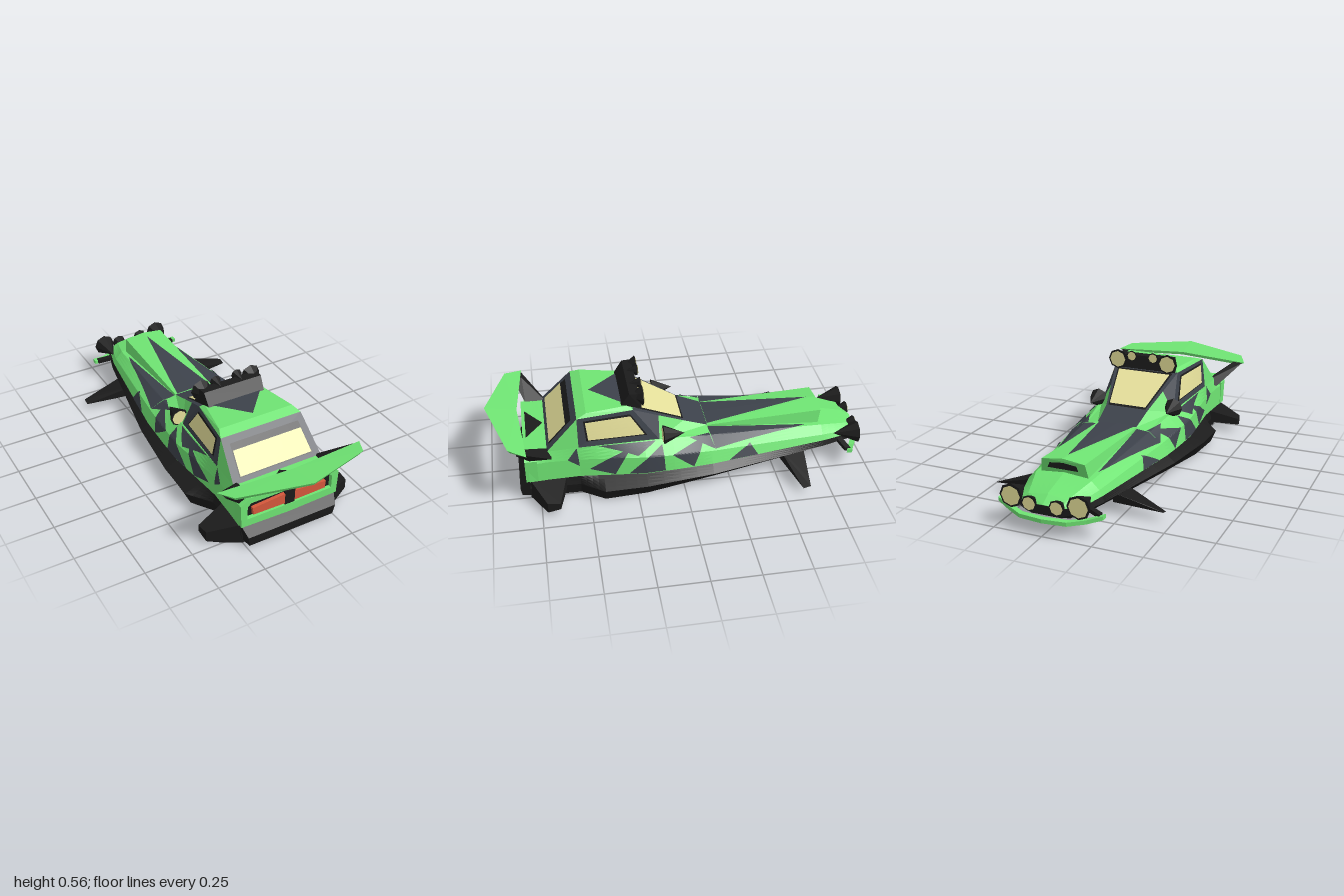
import * as THREE from 'three';
import { ConvexGeometry } from 'three/addons/geometries/ConvexGeometry.js';

const paint = (name, color) => {
  const m = new THREE.MeshStandardMaterial({ color, flatShading: true, side: THREE.DoubleSide });
  m.name = name;
  return m;
};
const V = (p) => new THREE.Vector3(...p);
const mix = (a, b, t) => a.map((v, i) => v + (b[i] - v) * t);
const flip = (s) => ([x, y, z]) => [x * s, y, z];

// Half rings of the body: z, then [x, y] of rim, crease, shoulder and centre line
const BODY = [
  [0.8, [0.275, 0.12], [0.275, 0.23], [0.24, 0.283], [0, 0.287]],
  [0.7, [0.268, 0.12], [0.266, 0.23], [0.25, 0.285], [0, 0.285]],
  [0.54, [0.258, 0.115], [0.256, 0.22], [0.247, 0.289], [0, 0.28]],
  [0.2, [0.29, 0.112], [0.283, 0.21], [0.224, 0.273], [0, 0.265]],
  [0.05, [0.29, 0.118], [0.275, 0.2], [0.208, 0.263], [0, 0.263]],
  [-0.15, [0.284, 0.125], [0.258, 0.19], [0.18, 0.238], [0, 0.247]],
  [-0.77, [0.2, 0.137], [0.185, 0.168], [0.145, 0.207], [0, 0.222]],
  [-0.93, [0.155, 0.133], [0.14, 0.15], [0.1, 0.17], [0, 0.185]],
];
// Half rings of the hull: deck edge, widest rim, chine and keel
const HULL = [
  [0.8, [0.25, 0.12], [0.265, 0.07], [0.25, 0.005], [0, 0]],
  [0.54, [0.258, 0.115], [0.268, 0.07], [0.25, 0.005], [0, 0]],
  [0.42, [0.268, 0.114], [0.36, 0.075], [0.33, 0.005], [0, 0]],
  [0.2, [0.29, 0.112], [0.36, 0.08], [0.315, 0.005], [0, 0]],
  [-0.15, [0.284, 0.126], [0.326, 0.09], [0.26, 0.025], [0, 0.02]],
  [-0.77, [0.2, 0.14], [0.21, 0.112], [0.16, 0.07], [0, 0.065]],
  [-0.93, [0.155, 0.135], [0.16, 0.11], [0.11, 0.08], [0, 0.075]],
];

// Point on a lofted skin at z and ring position t (0 to 3)
function skinPoint(rings, z, t, s = 1, off = 0) {
  let i = 0;
  while (i < rings.length - 2 && z < rings[i + 1][0]) i++;
  const k = Math.min(2, Math.floor(t)) + 1;
  const a = rings[i], b = rings[i + 1], u = (a[0] - z) / (a[0] - b[0]);
  const [x, y] = mix(mix(a[k], b[k], u), mix(a[k + 1], b[k + 1], u), t - k + 1);
  return [(x + off) * s, y + off, z];
}

function triangles(points) {
  const g = new THREE.BufferGeometry();
  g.setAttribute('position', new THREE.Float32BufferAttribute(points.flat(), 3));
  g.computeVertexNormals();
  return g;
}

// Surface over a grid of nu by nv cells
function grid(f, nu, nv) {
  const out = [];
  for (let i = 0; i < nu; i++) for (let j = 0; j < nv; j++) {
    const a = f(i, j), b = f(i + 1, j), c = f(i + 1, j + 1), d = f(i, j + 1);
    out.push(a, b, c, a, c, d);
  }
  return triangles(out);
}

export function createModel() {
  const model = new THREE.Group();
  const green = paint('green paint', 0x6fe473);
  const grey = paint('slate grey', 0x3d424b);
  const black = paint('black trim', 0x1b1b1b);
  const glass = paint('pale yellow glass', 0xe6e09b);
  const red = paint('tail light red', 0xd6583c);

  const add = (name, geo, mat) => {
    const m = new THREE.Mesh(geo, mat);
    m.name = name;
    model.add(m);
    return m;
  };
  const solid = (name, pts, mat) => add(name, new ConvexGeometry(pts.map(V)), mat);
  const both = (f) => [1, -1].forEach(f);
  const pair = (name, pts, mat) => both((s) => solid(name, pts.map(flip(s)), mat));
  const wide = (name, pts, mat) => solid(name, [...pts, ...pts.map(flip(-1))], mat);
  const face = (name, pts, mat) => {
    const out = [];
    for (let i = 1; i < pts.length - 1; i++) out.push(pts[0], pts[i], pts[i + 1]);
    return add(name, triangles(out), mat);
  };

  // Plate on a quad, inset by u and v ranges, raised away from the cabin centre
  function plate(name, q, [u0, u1, v0, v1], off, mat) {
    const n = V(q[1]).sub(V(q[0])).cross(V(q[3]).sub(V(q[0]))).normalize();
    if (n.dot(V(q[0]).sub(V([0, 0.3, 0.3]))) < 0) n.negate();
    const at = (u, v) => {
      const p = mix(mix(q[0], q[1], u), mix(q[3], q[2], u), v);
      return [p[0] + n.x * off, p[1] + n.y * off, p[2] + n.z * off];
    };
    add(name, grid((i, j) => at(u0 + (u1 - u0) * i / 6, v0 + (v1 - v0) * j / 6), 6, 6), mat);
  }
  const window = (name, q, [u0, u1, v0, v1]) => {
    plate(name + 'Seal', q, [u0 - 0.025, u1 + 0.025, v0 - 0.04, v1 + 0.05], 0.004, black);
    plate(name, q, [u0, u1, v0, v1], 0.008, glass);
  };

  // Body and hull skins
  both((s) => {
    for (const [name, rings, mat] of [['body', BODY, green], ['hull', HULL, black]]) {
      const zAt = (i) => {
        const k = Math.min(rings.length - 2, Math.floor(i / 4));
        return rings[k][0] + (rings[k + 1][0] - rings[k][0]) * (i / 4 - k);
      };
      add(name, grid((i, j) => skinPoint(rings, zAt(i), j / 4, s), (rings.length - 1) * 4, 12), mat);
    }
    // Camouflage triangles, corners as [z, ring position]
    const camo = [
      [[0.6, 1.0], [0.55, 1.95], [0.54, 0.6]],
      [[0.27, 1.7], [0.49, 0.4], [0.36, 0.02]],
      [[0.11, 1.7], [0.1, 0.02], [0.29, 0.02]],
      [[-0.12, 1.95], [0.06, 1.0], [-0.05, 0.02]],
      [[-0.36, 1.2], [-0.24, 0.02], [-0.4, 0.02]],
      [[-0.68, 2.1], [-0.17, 1.1], [-0.15, 2.4]],
      [[-0.04, 1.95], [-0.17, 1.1], [-0.15, 2.1]],
      [[0.44, 1.95], [0.24, 1.1], [0.14, 1.95]],
    ];
    for (const [a, b, c] of camo) {
      const N = 16;
      add('camouflage', grid((i, j) => {
        const [z, t] = mix(a, mix(b, c, j / N), i / N);
        return skinPoint(BODY, z, t, s, 0.004);
      }, N, N), grey);
    }
  });

  // Nose cap and curved front bumper
  wide('noseCap', [[0.14, 0.15, -0.92], [0.1, 0.17, -0.92], [0, 0.185, -0.92], [0.155, 0.13, -0.92], [0.08, 0.14, -0.965], [0, 0.15, -0.98]], green);
  wide('noseUnderside', [[0.16, 0.11, -0.92], [0.155, 0.133, -0.92], [0.11, 0.08, -0.92], [0.08, 0.138, -0.96], [0.07, 0.09, -0.96]], black);
  const bumper = [[0, 0.077, -0.985], [0.12, 0.077, -0.972], [0.2, 0.085, -0.93], [0.27, 0.105, -0.9]];
  const section = ([x, y, z]) => [[x, y - 0.01, z - 0.015], [x, y + 0.01, z - 0.015], [x, y + 0.01, z + 0.015], [x, y - 0.01, z + 0.015]];
  for (let i = 0; i < 3; i++) pair('frontBumper', [...section(bumper[i]), ...section(bumper[i + 1])], green);
  pair('bumperBracket', [...section([0.25, 0.105, -0.895]), ...section([0.15, 0.125, -0.86])], black);

  // Hood scoop with dark intake and centre stripe
  wide('hoodScoop', [[0.11, 0.253, -0.15], [0, 0.258, -0.15], [0.112, 0.281, -0.77], [0, 0.295, -0.77], [0.11, 0.225, -0.15], [0.125, 0.205, -0.755]], green);
  face('scoopIntake', [[-0.08, 0.243, -0.774], [0.08, 0.243, -0.774], [0.07, 0.268, -0.774], [0, 0.276, -0.774], [-0.07, 0.268, -0.774]], black);
  both((s) => face('hoodStripe', [[0, 0.262, -0.15], [0.1 * s, 0.258, -0.15], [0, 0.2965, -0.72]], grey));

  // Cabin corners
  const S0 = [0.25, 0.285, 0.7], M = [0.247, 0.289, 0.54], R0 = [0.228, 0.45, 0.54];
  const R1 = [0.185, 0.445, 0.25], S1 = [0.212, 0.265, 0.12], W = [0.12, 0.305, -0.02];
  const H = [0.11, 0.255, -0.15], C = [0.18, 0.238, -0.15], Q = mix(R1, W, 0.5), m = flip(-1);
  both((s) => {
    const f = flip(s), side = [M, S1, R1, R0].map(f);
    face('rearQuarter', [S0, R0, M].map(f), green);
    face('sideFrame', side, grey);
    window('sideWindow', side, [0.13, 0.88, 0.24, 0.85]);
    face('windscreenPillar', [R1, Q, S1].map(f), grey);
    face('cowlCorner', [Q, W, S1].map(f), green);
    face('cowlSide', [S1, W, H, C].map(f), green);
  });
  face('cowl', [W, H, m(H), m(W)], grey);
  const screen = [m(W), W, R1, m(R1)], back = [m(S0), S0, R0, m(R0)];
  face('windscreenFrame', screen, grey);
  window('windscreen', screen, [0.08, 0.92, 0.04, 0.9]);
  face('rearFrame', back, grey);
  plate('rearWindowSeal', back, [0.08, 0.92, 0.1, 0.84], 0.004, black);
  plate('rearWindow', back, [0.09, 0.91, 0.12, 0.68], 0.008, glass);
  wide('roof', [R0, R1, [0.208, 0.468, 0.49], [0.165, 0.463, 0.27]], green);
  face('roofCamouflage', [[-0.16, 0.468, 0.28], [0.16, 0.468, 0.28], [0, 0.471, 0.46]], grey);

  // Lamps: cones closed by pale discs, dir is the way the disc faces
  function lamp(name, x, y, z, r, h, dir) {
    both((s) => {
      const shell = new THREE.ConeGeometry(r, h, 8).rotateX(-dir * Math.PI / 2);
      add(name, shell.translate(x * s, y, z - dir * h / 2), black);
      const lens = new THREE.CircleGeometry(r * 0.82, 8);
      if (dir < 0) lens.rotateY(Math.PI);
      add(name + 'Lens', lens.translate(x * s, y, z + dir * 0.004), glass);
    });
  }
  wide('roofLightBar', [[0.16, 0.46, 0.31], [0.185, 0.455, 0.205], [0.17, 0.528, 0.215], [0.165, 0.528, 0.265]], black);
  lamp('roofLampLarge', 0.145, 0.502, 0.195, 0.055, 0.075, -1);
  lamp('roofLampSmall', 0.062, 0.527, 0.195, 0.03, 0.06, -1);
  lamp('noseLampLarge', 0.172, 0.16, -0.965, 0.06, 0.13, -1);
  lamp('noseLampSmall', 0.07, 0.145, -0.98, 0.04, 0.08, -1);
  lamp('sideMirror', 0.22, 0.298, 0.1, 0.05, 0.11, 1);

  // Tail frame, lights and rear bumper
  const outline = (p) => [...p, ...p.slice().reverse().map(([x, y]) => [-x, y])].map(([x, y]) => new THREE.Vector2(x, y));
  const frame = new THREE.Shape(outline([[0.01, 0.112], [0.272, 0.12], [0.278, 0.25], [0.225, 0.285]]));
  frame.holes.push(new THREE.Path(outline([[0.24, 0.16], [0.24, 0.235], [0.22, 0.252]])));
  add('tailFrame', new THREE.ExtrudeGeometry(frame, { depth: 0.062, bevelEnabled: false }).translate(0, 0, 0.755), green);
  add('tailPanel', new THREE.BoxGeometry(0.5, 0.11, 0.02).translate(0, 0.205, 0.785), black);
  add('tailDivider', new THREE.BoxGeometry(0.055, 0.08, 0.022).translate(0, 0.2, 0.803), black);
  pair('tailLight', [0.79, 0.813].flatMap((z) => [[0.028, 0.168, z], [0.205, 0.172, z], [0.208, 0.213, z], [0.028, 0.226, z]]), red);
  wide('rearBumper', [[0.255, 0.12, 0.7], [0.265, 0.116, 0.81], [0.25, 0.07, 0.85], [0.24, 0.015, 0.845], [0.25, 0, 0.7]], black);
  wide('rearFlap', [[0.18, 0.06, 0.853], [0, 0.07, 0.854], [0.23, 0.02, 0.848], [0.23, 0.045, 0.852], [0.2, 0.02, 0.83]], black);

  // Rear and front stabilising fins
  pair('rearFin', [[0.25, 0.12, 0.61], [0.25, 0.12, 0.8], [0.25, 0.05, 0.61], [0.25, 0.005, 0.8], [0.34, 0.005, 0.75],
    [0.415, 0.075, 0.655], [0.408, 0.075, 0.72], [0.415, 0.04, 0.655], [0.408, 0.02, 0.72]], black);
  pair('frontFin', [[0.2, 0.115, -0.66], [0.2, 0.115, -0.53], [0.2, 0.06, -0.65], [0.2, 0.06, -0.53], [0.28, 0.045, -0.56],
    [0.4, 0.062, -0.64], [0.452, 0.045, -0.638], [0.452, 0.035, -0.6]], black);

  // Spoiler and its struts
  const wing = [[0, 0.415, 0.998], [0.355, 0.392, 0.89], [0.4, 0.375, 0.8], [0, 0.388, 0.835]];
  pair('spoiler', [...wing, [0, 0.398, 0.99], [0.345, 0.37, 0.88], [0.37, 0.36, 0.805], [0, 0.372, 0.838]], green);
  pair('spoilerStrut', [[0.215, 0.28, 0.68], [0.27, 0.25, 0.68], [0.215, 0.28, 0.79], [0.27, 0.25, 0.79],
    [0.33, 0.372, 0.8], [0.385, 0.372, 0.8], [0.335, 0.372, 0.85], [0.38, 0.372, 0.85]], black);
  face('deckStripe', [[-0.12, 0.291, 0.8], [0.12, 0.291, 0.8], [0, 0.291, 0.71]], black);

  return model;
}
